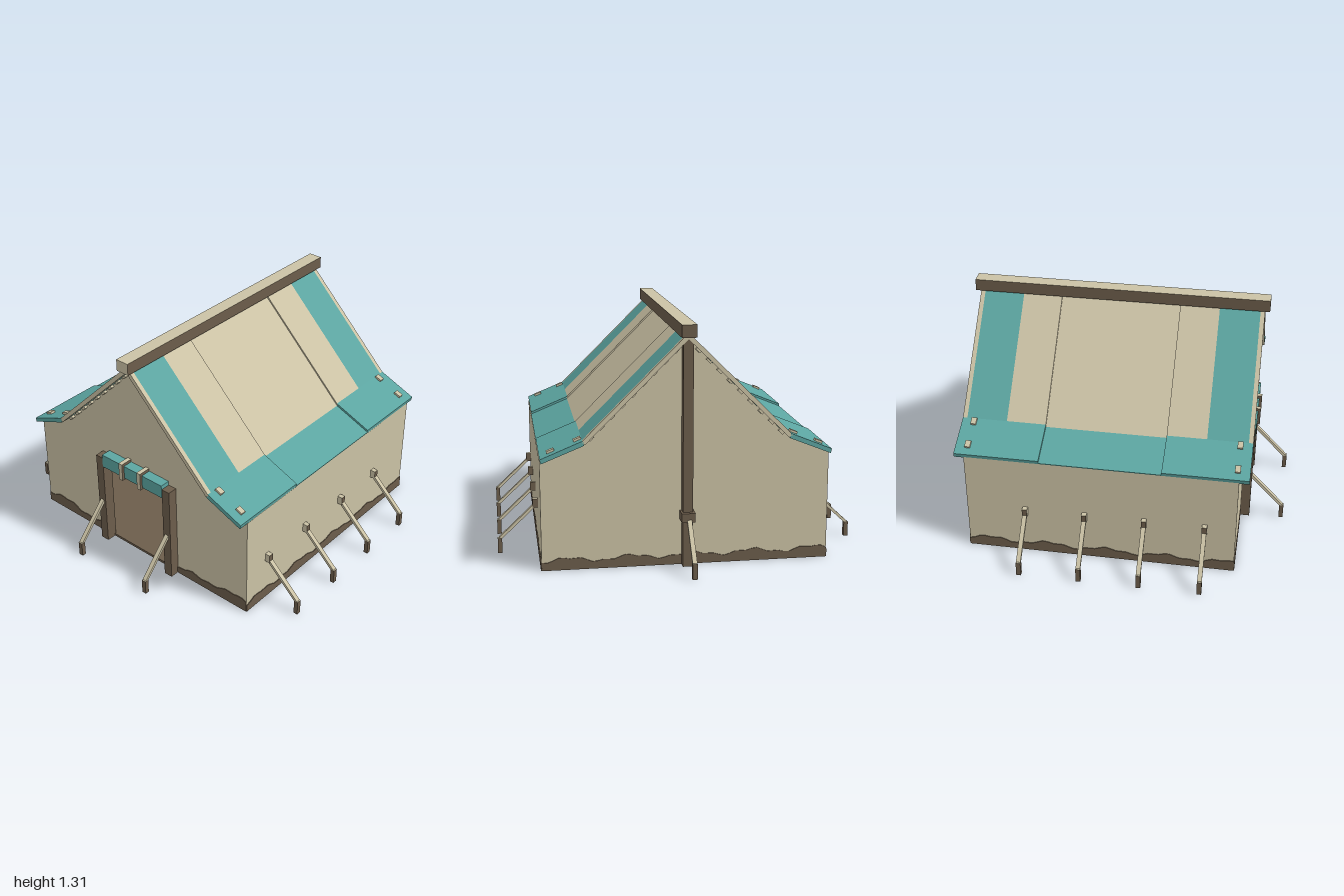
import * as THREE from 'three';

export function createModel() {
  const root = new THREE.Group();
  const make = (name, color, side = THREE.FrontSide) =>
    new THREE.MeshStandardMaterial({ name, color, side });
  const canvas = make('tan canvas', 0xcbc2a5, THREE.DoubleSide);
  const teal = make('teal cloth', 0x5ca5a1);
  const wood = make('dark wood', 0x6c5d4b);
  // painted timber: pale top and front, dark elsewhere
  const trimmed = [wood, wood, canvas, wood, canvas, wood];
  const capped = [wood, wood, canvas, wood, wood, wood];

  function add(name, geo, mat, parent = root) {
    const m = new THREE.Mesh(geo, mat);
    m.name = name;
    parent.add(m);
    return m;
  }
  // box given by its extents
  function box(name, mat, x0, x1, y0, y1, z0, z1, parent) {
    const m = add(name, new THREE.BoxGeometry(x1 - x0, y1 - y0, z1 - z0), mat, parent);
    m.position.set((x0 + x1) / 2, (y0 + y1) / 2, (z0 + z1) / 2);
    return m;
  }
  const shapeOf = pts => new THREE.Shape(pts.map(p => new THREE.Vector2(p[0], p[1])));
  // x-y outline extruded from z0 to z1
  function slab(name, mat, pts, z0, z1) {
    const g = new THREE.ExtrudeGeometry(shapeOf(pts), { depth: z1 - z0, bevelEnabled: false });
    return add(name, g.translate(0, 0, z0), mat);
  }

  const W = 0.775, D = 0.75;

  // floor and canvas walls, hollow inside with an open doorway
  box('floor', wood, -W, W, 0, 0.015, -D, D);
  const gable = [[-W, 0], [W, 0], [W, 0.605], [0.55, 0.69], [0, 1.235], [-0.55, 0.69], [-W, 0.605]];
  const door = [[-0.225, 0], [-0.225, 0.56], [0.225, 0.56], [0.225, 0]];
  const frontOutline = [[-W, 0], ...door, [W, 0], ...gable.slice(2)];
  add('frontWall', new THREE.ShapeGeometry(shapeOf(frontOutline)), canvas).position.z = D;
  const back = add('backWall', new THREE.ShapeGeometry(shapeOf(gable)), canvas);
  back.rotation.y = Math.PI;
  back.position.z = -D;
  for (const s of [-1, 1]) {
    const wall = add('sideWall', new THREE.PlaneGeometry(2 * D, 0.605), canvas);
    wall.rotation.y = s * Math.PI / 2;
    wall.position.set(s * W, 0.3025, 0);
  }

  // ragged mud band along the foot of each wall
  function mud(a, b, x, z, rot, height) {
    const pts = [[a, 0], [b, 0]];
    const n = Math.round((b - a) / 0.03);
    for (let i = n; i >= 0; i--) {
      const u = a + (b - a) * i / n;
      const wave = 0.012 * Math.sin(u * 19 + 1) + 0.006 * Math.sin(u * 53);
      pts.push([u, height(u) + wave]);
    }
    const g = new THREE.ExtrudeGeometry(shapeOf(pts), { depth: 0.004, bevelEnabled: false });
    const m = add('mudBand', g, wood);
    m.position.set(x, 0, z);
    m.rotation.y = rot;
  }
  const nearDoor = u => 0.035 + 0.03 * Math.min(1, (Math.abs(u) - 0.27) / 0.3);
  mud(-W, -0.27, 0, D, 0, nearDoor);
  mud(0.27, W, 0, D, 0, nearDoor);
  mud(-W, W, 0, -D, Math.PI, () => 0.055);
  for (const s of [-1, 1]) mud(-D, D, s * W, 0, s * Math.PI / 2, () => 0.055);

  // roof: lengthwise strips, with the middle bay set slightly lower
  const strips = [
    ['roofEdge', canvas, 0.78, 0.805, 0],
    ['roofStripe', teal, 0.555, 0.78, 0],
    ['roofPanel', canvas, 0.335, 0.555, 0],
  ];
  for (const s of [-1, 1]) {
    const slope = drop => [[0, 1.262 - drop], [s * 0.56, 0.706 - drop], [s * 0.54, 0.692], [0, 1.228]];
    const eave = drop => [[s * 0.55, 0.714 - drop], [s * W, 0.622 - drop], [s * 0.77, 0.598], [s * 0.545, 0.688]];
    for (const [name, mat, z0, z1] of strips) {
      slab(name, mat, slope(0), z0, z1);
      slab(name, mat, slope(0), -z1, -z0);
    }
    slab('roofMiddlePanel', canvas, slope(0.012), -0.335, 0.335);
    slab('eaveMiddle', teal, eave(0.013), -0.335, 0.335);
    for (const e of [-1, 1]) {
      slab('eaveEnd', teal, eave(0), e > 0 ? 0.335 : -0.805, e > 0 ? 0.805 : -0.335);
      // small toggles on the eave corners
      for (const x of [0.575, 0.715]) {
        const t = add('eaveToggle', new THREE.BoxGeometry(0.042, 0.024, 0.03), canvas);
        t.position.set(s * x, 0.714 - (x - 0.55) * 0.41, e * 0.737);
        t.rotation.z = -s * 0.39;
      }
      // row of stitches under the gable edge
      for (let i = 0; i < 9; i++) {
        const x = 0.06 + i * 0.056;
        const t = add('gableStitch', new THREE.BoxGeometry(0.03, 0.02, 0.02), canvas);
        t.position.set(s * x, 1.226 - x, e * 0.76);
        t.rotation.z = -s * Math.PI / 4;
      }
    }
  }

  // ridge beam and rear pole
  box('ridgeBeam', trimmed, -0.04, 0.04, 1.24, 1.307, -0.832, 0.832);
  box('backPole', wood, -0.027, 0.027, 0, 1.24, -0.8, -D);

  // door frame and rolled door flap
  for (const s of [-1, 1]) {
    const post = box('doorPost', wood, -0.026, 0.026, 0, 0.585, D - 0.01, 0.805);
    post.position.x = s * 0.251;
    box('doorStrap', trimmed, s * 0.068 - 0.013, s * 0.068 + 0.013, 0.52, 0.627, D, 0.823);
  }
  box('rolledDoor', teal, -0.225, 0.225, 0.53, 0.61, D - 0.01, 0.808);

  // guy rope running outward along local +x to a stake
  function guy(x, z, rot, reach) {
    const g = new THREE.Group();
    g.name = 'guyRope';
    const run = reach - 0.012, fall = 0.2;
    const rope = add('rope', new THREE.BoxGeometry(Math.hypot(run, fall), 0.016, 0.025), canvas, g);
    rope.position.set(run / 2, 0.182, 0);
    rope.rotation.z = -Math.atan2(fall, run);
    box('stake', capped, reach - 0.024, reach, 0, 0.085, -0.013, 0.013, g);
    g.position.set(x, 0, z);
    g.rotation.y = rot;
    root.add(g);
  }
  for (const s of [-1, 1]) {
    for (const z of [0.58, 0.247, -0.085, -0.418]) {
      guy(s * W, z, s > 0 ? 0 : Math.PI, 0.225);
      const b = box('ropeBracket', trimmed, -0.016, 0.016, 0.253, 0.303, z - 0.014, z + 0.014);
      b.position.x = s * 0.789;
    }
    guy(s * 0.25, 0.8, -Math.PI / 2, 0.2);
  }
  guy(-0.005, -0.8, Math.PI / 2, 0.2);
  box('poleCollar', wood, -0.037, 0.037, 0.253, 0.303, -0.825, -D);

  return root;
}
